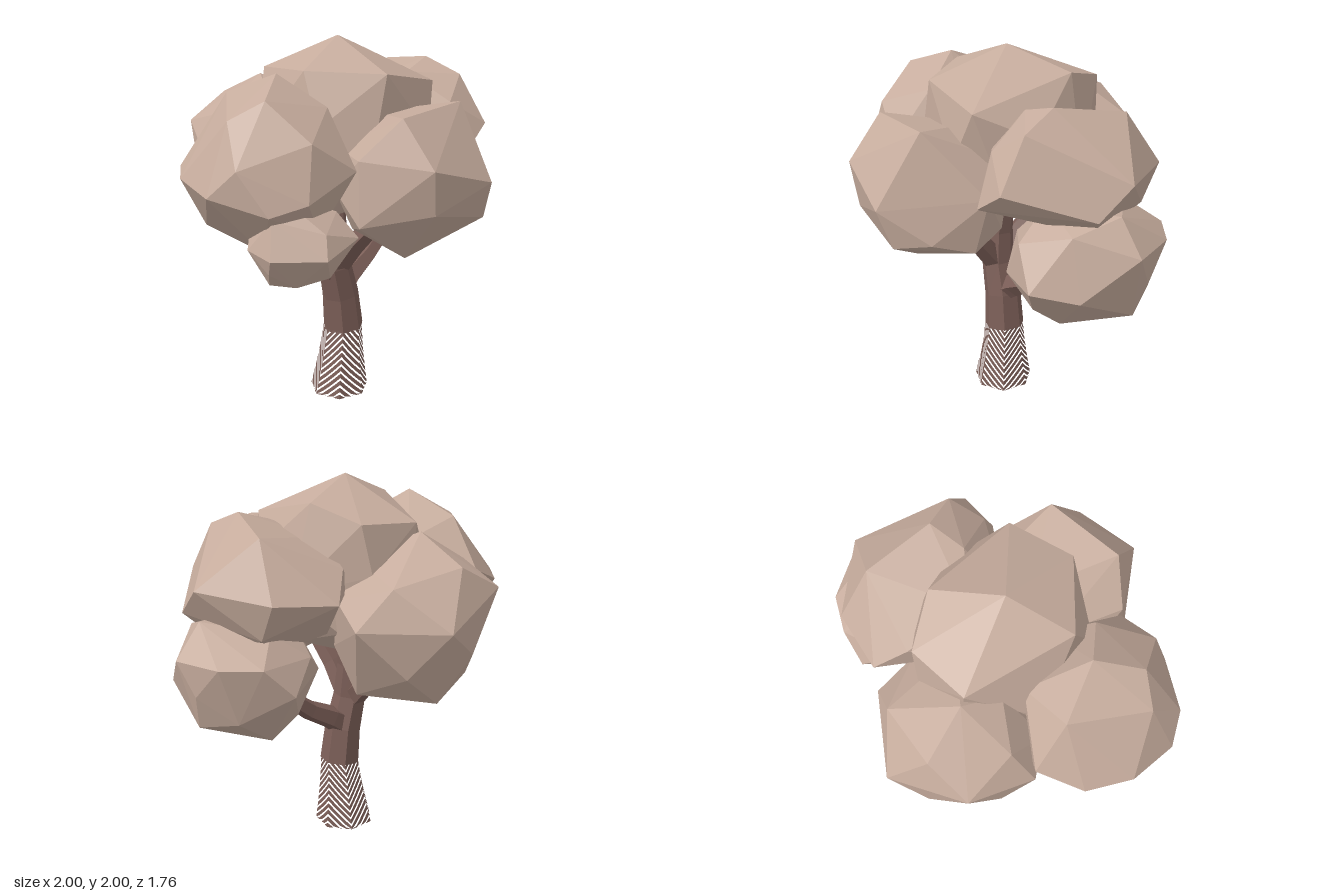
import * as THREE from 'three';
import { ConvexGeometry } from 'three/addons/geometries/ConvexGeometry.js';

const leafMat = new THREE.MeshStandardMaterial({ color: 0xc6ac9d, flatShading: true });
const barkMat = new THREE.MeshStandardMaterial({ color: 0x7c5f58, flatShading: true });
const SIDES = 7;

// Faceted foliage clump: hull of a few outer corners and a coarse ellipsoid that fills in between
function clump(name, centre, radii, corners) {
  const count = 24, c = new THREE.Vector3(...centre), r = new THREE.Vector3(...radii);
  const pts = corners.map(p => new THREE.Vector3(...p));
  const units = pts.map(p => p.clone().sub(c).divide(r).normalize());
  for (let i = 0; i < count; i++) {
    const y = 1 - 2 * (i + 0.5) / count, s = Math.sqrt(1 - y * y), a = i * 2.4;
    const u = new THREE.Vector3(s * Math.cos(a), y, s * Math.sin(a));
    if (units.every(k => k.distanceTo(u) > 0.45)) pts.push(u.multiplyScalar(0.98).multiply(r).add(c));
  }
  const mesh = new THREE.Mesh(new ConvexGeometry(pts), leafMat);
  mesh.name = name;
  return mesh;
}

// Tapered faceted limb through points [x, y, z, radius]
function limb(name, pts, sides = SIDES) {
  const centres = pts.map(p => new THREE.Vector3(p[0], p[1], p[2]));
  const up = new THREE.Vector3(0, 1, 0);
  const pos = [], idx = [];
  pts.forEach((p, i) => {
    const dir = centres[Math.min(i + 1, pts.length - 1)].clone().sub(centres[Math.max(i - 1, 0)]).normalize();
    const q = new THREE.Quaternion().setFromUnitVectors(up, dir);
    for (let j = 0; j < sides; j++) {
      const a = j / sides * Math.PI * 2;
      const v = new THREE.Vector3(Math.sin(a) * p[3], 0, Math.cos(a) * p[3]).applyQuaternion(q).add(centres[i]);
      pos.push(v.x, v.y, v.z);
    }
  });
  for (let i = 0; i < pts.length - 1; i++) {
    for (let j = 0; j < sides; j++) {
      const a = i * sides + j, b = i * sides + (j + 1) % sides;
      idx.push(a, b, b + sides, a, b + sides, a + sides);
    }
  }
  return bark(name, pos, idx);
}

function bark(name, pos, idx) {
  const geo = new THREE.BufferGeometry();
  geo.setAttribute('position', new THREE.Float32BufferAttribute(pos, 3));
  geo.setIndex(idx);
  geo.computeVertexNormals();
  const mesh = new THREE.Mesh(geo, barkMat);
  mesh.name = name;
  return mesh;
}

// Flared root skirt of diagonal slats, mirrored from side to side, facing outwards only
function slattedBase() {
  const pos = [], idx = [];
  const height = 0.4, pitch = 0.1, width = 0.064, slope = 0.32, steps = 4;
  const point = (side, u, v) => {
    const flare = 0.11 + 0.055 * Math.pow(1 - v, 1.4);
    const a = side / SIDES * Math.PI * 2, b = (side + 1) / SIDES * Math.PI * 2;
    const x = THREE.MathUtils.lerp(Math.sin(a), Math.sin(b), u);
    const z = THREE.MathUtils.lerp(Math.cos(a), Math.cos(b), u);
    pos.push(-0.02 - 0.025 * (1 - v) + x * flare, v * height, 0.03 - 0.01 * (1 - v) + z * flare);
  };
  for (let side = 0; side < SIDES; side++) {
    for (let v0 = -slope; v0 < 1; v0 += pitch) {
      for (let k = 0; k <= steps; k++) {
        const u = k / steps;
        const rise = v0 + slope * (side % 2 ? u : 1 - u);
        const n = pos.length / 3;
        point(side, u, THREE.MathUtils.clamp(rise, 0, 1));
        point(side, u, THREE.MathUtils.clamp(rise + width, 0, 1));
        if (k < steps) idx.push(n, n + 2, n + 3, n, n + 3, n + 1);
      }
    }
  }
  return bark('slattedTrunkBase', pos, idx);
}

export function createModel() {
  const tree = new THREE.Group();
  tree.name = 'tree';

  // Trunk and boughs
  const wood = new THREE.Group();
  wood.name = 'wood';
  wood.add(
    slattedBase(),
    limb('trunk', [[-0.02, 0.38, 0.03, 0.112], [-0.04, 0.58, 0.025, 0.102], [-0.085, 0.76, 0.02, 0.092], [-0.09, 0.95, 0.01, 0.08], [-0.06, 1.15, 0, 0.06]]),
    limb('leftBough', [[-0.06, 0.58, 0.02, 0.08], [0.06, 0.66, 0.02, 0.066], [0.2, 0.735, 0.03, 0.055], [0.32, 0.83, 0.04, 0.05], [0.42, 0.95, 0.04, 0.045]], 5),
    limb('rightBough', [[-0.09, 0.74, 0.02, 0.08], [-0.25, 0.94, 0.03, 0.07], [-0.34, 1.06, 0.03, 0.06], [-0.46, 1.2, 0.04, 0.05]], 5),
    limb('frontBough', [[-0.08, 0.74, 0.02, 0.07], [-0.08, 0.92, 0.16, 0.06], [-0.06, 1.08, 0.3, 0.05]], 5),
    limb('backBough', [[-0.08, 0.72, 0.02, 0.07], [-0.09, 0.9, -0.14, 0.06], [-0.07, 1.06, -0.3, 0.05]], 5)
  );
  tree.add(wood);

  // Crown of overlapping clumps
  const crown = new THREE.Group();
  crown.name = 'crown';
  crown.add(
    clump('topClump', [-0.01, 1.51, 0], [0.46, 0.47, 0.5], [
      [-0.03, 2, 0], [-0.37, 1.87, 0.06], [0.31, 1.9, -0.13], [-0.15, 1.86, 0.4], [0.22, 1.78, 0.42],
      [-0.1, 1.8, -0.45], [0.22, 1.82, -0.4]]),
    clump('rightClump', [-0.57, 1.42, -0.02], [0.42, 0.43, 0.45], [
      [-1, 1.37, 0.01], [-0.84, 1.7, 0], [-0.5, 1.87, 0], [-0.76, 1.4, -0.42], [-0.52, 1.5, -0.49],
      [-0.88, 1.3, 0.28], [-0.44, 1.45, 0.44], [-0.74, 1.35, 0.4]]),
    clump('frontClump', [-0.04, 1.33, 0.46], [0.41, 0.39, 0.4], [
      [0.06, 1.36, 0.88], [-0.31, 1.48, 0.79], [-0.3, 1.7, 0.6], [0.12, 1.72, 0.65], [0.38, 1.4, 0.45],
      [0.33, 1.12, 0.5], [-0.14, 0.94, 0.52], [0.1, 1.16, 0.82], [-0.47, 1.18, 0.48], [-0.44, 1.5, 0.45]]),
    clump('backClump', [-0.07, 1.33, -0.45], [0.43, 0.42, 0.41], [
      [0.08, 1.36, -0.88], [-0.34, 1.5, -0.79], [-0.1, 1.63, -0.76], [-0.1, 1.76, -0.48], [-0.53, 1.4, -0.5],
      [0.38, 1.35, -0.54], [0, 0.95, -0.72], [-0.1, 0.89, -0.5], [0.2, 0.94, -0.35]]),
    clump('upperLeftClump', [0.47, 1.49, 0.03], [0.41, 0.34, 0.48], [
      [0.57, 1.51, 0.54], [0.4, 1.39, 0.54], [0.55, 1.76, 0.38], [0.52, 1.84, 0.18], [0.65, 1.78, -0.17],
      [0.43, 1.48, -0.48], [0.72, 1.5, -0.35], [0.9, 1.53, 0.02], [0.86, 1.38, 0.2]]),
    clump('lowerLeftClump', [0.61, 1.07, 0.04], [0.37, 0.32, 0.42], [
      [1, 1.2, 0.05], [0.92, 0.85, 0], [0.62, 0.74, 0.2], [0.37, 0.79, 0], [0.6, 0.74, -0.16], [0.25, 0.97, 0.1],
      [0.63, 1.05, -0.4], [0.93, 1.2, -0.2], [0.87, 1, 0.31], [0.7, 1.04, 0.48], [0.86, 1.37, 0.05], [0.77, 1.2, -0.34]]),
    clump('smallRightClump', [-0.63, 1.11, 0.24], [0.26, 0.22, 0.26], [
      [-0.9, 1.1, 0.3], [-0.83, 1.27, 0.25], [-0.8, 0.93, 0.2], [-0.56, 0.9, 0.2], [-0.37, 1.02, 0.2],
      [-0.73, 1.1, 0.5], [-0.5, 1.15, 0.5], [-0.63, 1.33, 0.25]])
  );
  tree.add(crown);
  return tree;
}
